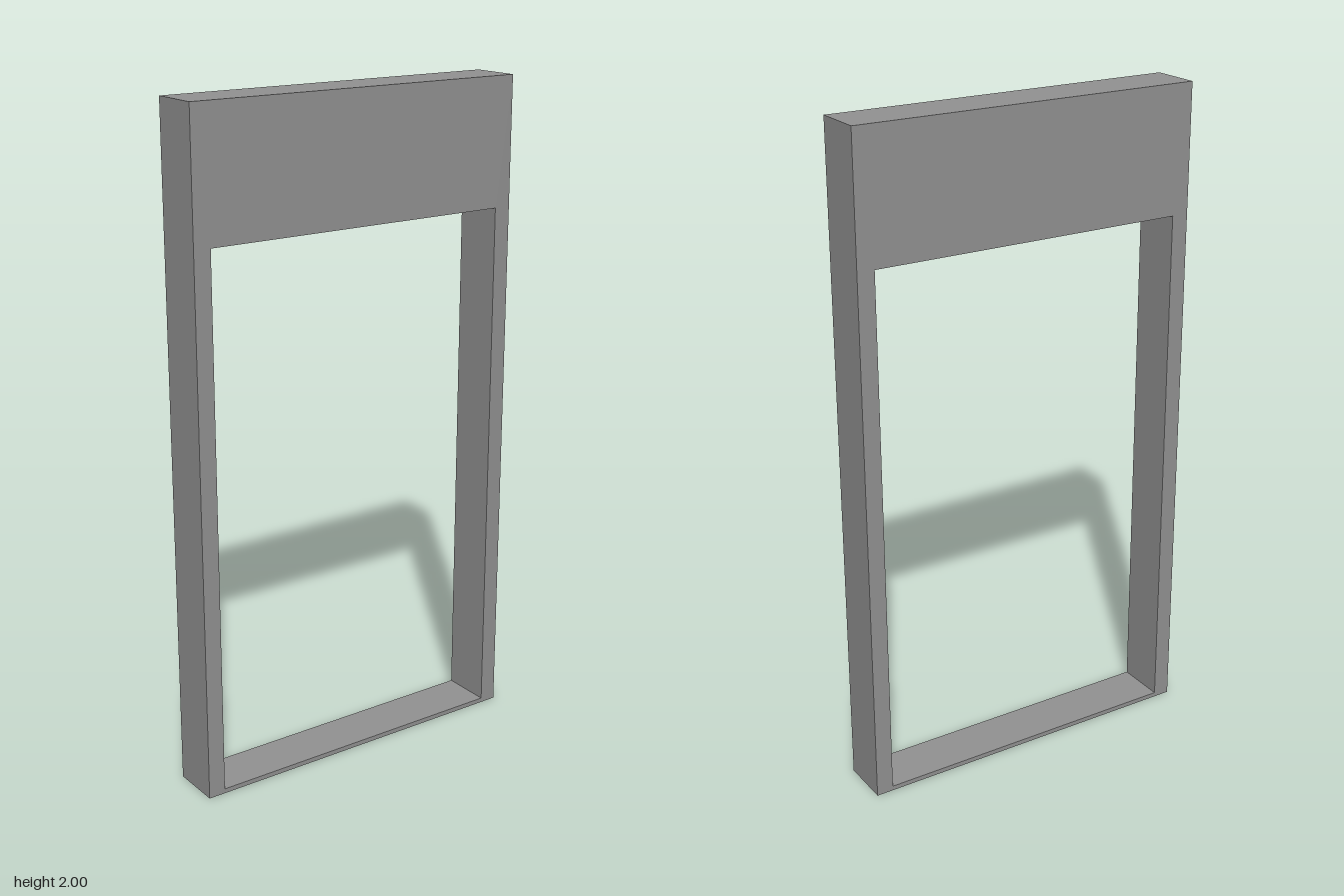
import * as THREE from 'three';

const HALF_WIDTH = 0.538, HEIGHT = 2, DEPTH = 0.154;
const OPENING_HALF = 0.486, OPENING_BOTTOM = 0.014, OPENING_TOP = 1.617;

// Closed rectangle as a list of corners
const rectangle = (halfWidth, bottom, top) => [
  new THREE.Vector2(-halfWidth, bottom),
  new THREE.Vector2(halfWidth, bottom),
  new THREE.Vector2(halfWidth, top),
  new THREE.Vector2(-halfWidth, top),
];

export function createModel() {
  const group = new THREE.Group();
  group.name = 'doorway';

  // One-piece frame: deep header, slim jambs and a thin threshold around the opening
  const outline = new THREE.Shape(rectangle(HALF_WIDTH, 0, HEIGHT));
  outline.holes.push(new THREE.Path(rectangle(OPENING_HALF, OPENING_BOTTOM, OPENING_TOP)));
  const geometry = new THREE.ExtrudeGeometry(outline, { depth: DEPTH, bevelEnabled: false });
  geometry.translate(0, 0, -DEPTH / 2);

  // Dark grey finish
  const material = new THREE.MeshStandardMaterial({ color: 0x929292, flatShading: true });
  const frame = new THREE.Mesh(geometry, material);
  frame.name = 'doorFrame';
  group.add(frame);
  return group;
}
